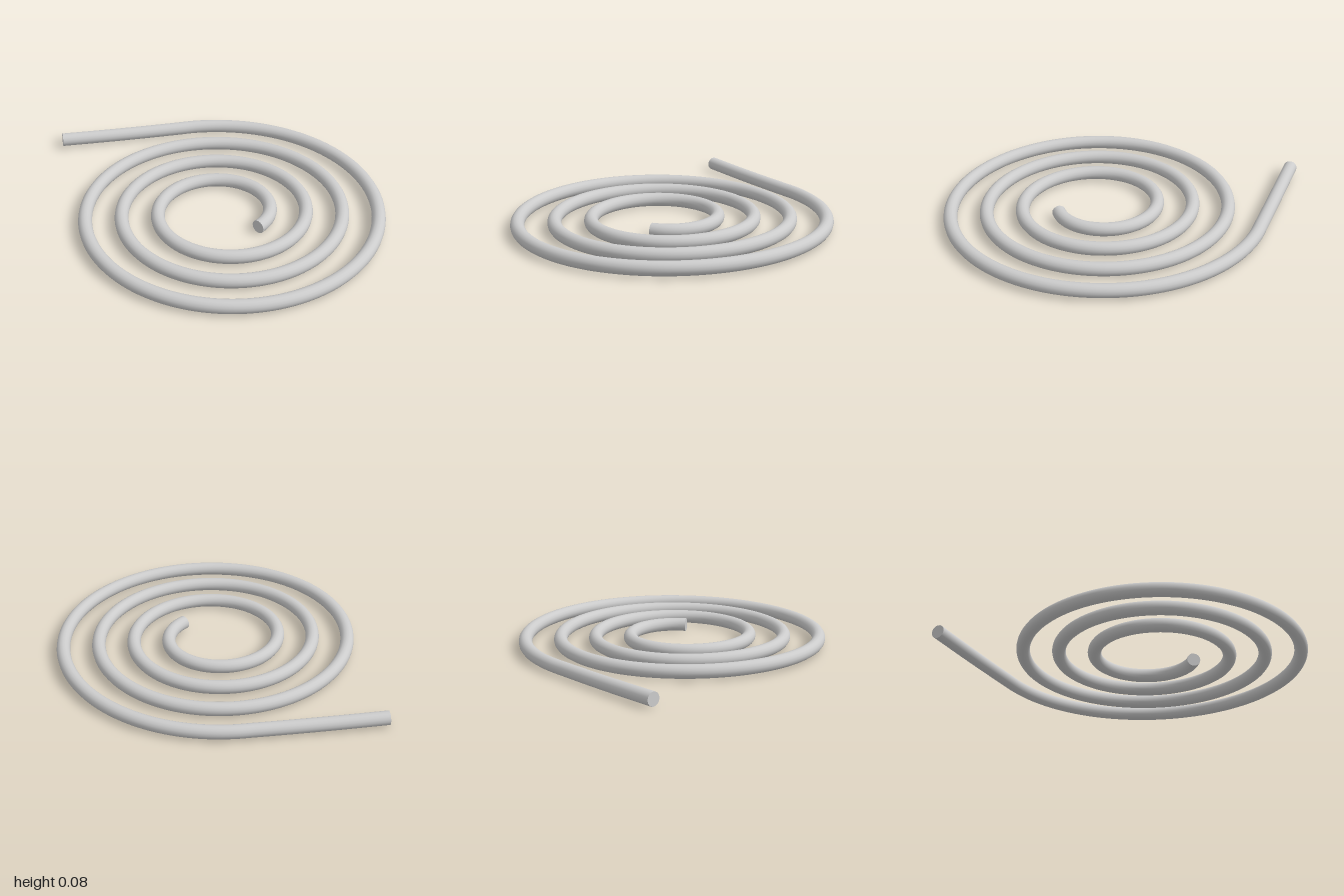
import * as THREE from 'three';

const TUBE_RADIUS = 0.036;
const CENTRE = { x: 0.168, z: 0.041 };
const START_RADIUS = 0.224;
const PITCH = 0.188; // radial growth per turn
const TURNS = 3.385;
const STEPS = 200;
const TAIL_END = new THREE.Vector3(-0.973, 0.043, 0.05);

// Centre line: a flat spiral wound outwards, then a straight tail
function coilPath() {
  const points = [];
  for (let i = 0; i <= STEPS; i++) {
    const turn = (TURNS * i) / STEPS;
    const angle = turn * Math.PI * 2;
    const radius = START_RADIUS + PITCH * turn;
    points.push(new THREE.Vector3(
      CENTRE.x + radius * Math.cos(angle),
      0.0415 + 0.004 * Math.sin(angle * 2) * (turn / TURNS), // slight hand-formed waviness
      CENTRE.z - radius * Math.sin(angle)
    ));
  }
  const tailStart = points[points.length - 1];
  for (let i = 1; i <= 8; i++) {
    const t = i / 8;
    const p = tailStart.clone().lerp(TAIL_END, t);
    p.y -= 0.003 * Math.sin(t * Math.PI);
    points.push(p);
  }
  const path = new THREE.CatmullRomCurve3(points);
  path.arcLengthDivisions = 3000;
  return path;
}

export function createModel() {
  const group = new THREE.Group();
  group.name = 'spiralCoil';
  const material = new THREE.MeshStandardMaterial({ color: 0xcccccc });
  const path = coilPath();

  // Round rod following the spiral
  const rod = new THREE.Mesh(new THREE.TubeGeometry(path, 480, TUBE_RADIUS, 16, false), material);
  rod.name = 'coiledRod';
  group.add(rod);

  // Flat discs closing both ends
  for (const [name, t, sign] of [['innerEndCap', 0, -1], ['outerEndCap', 1, 1]]) {
    const cap = new THREE.Mesh(new THREE.CircleGeometry(TUBE_RADIUS, 16), material);
    cap.name = name;
    cap.position.copy(path.getPointAt(t));
    cap.lookAt(cap.position.clone().addScaledVector(path.getTangentAt(t), sign));
    group.add(cap);
  }
  return group;
}
